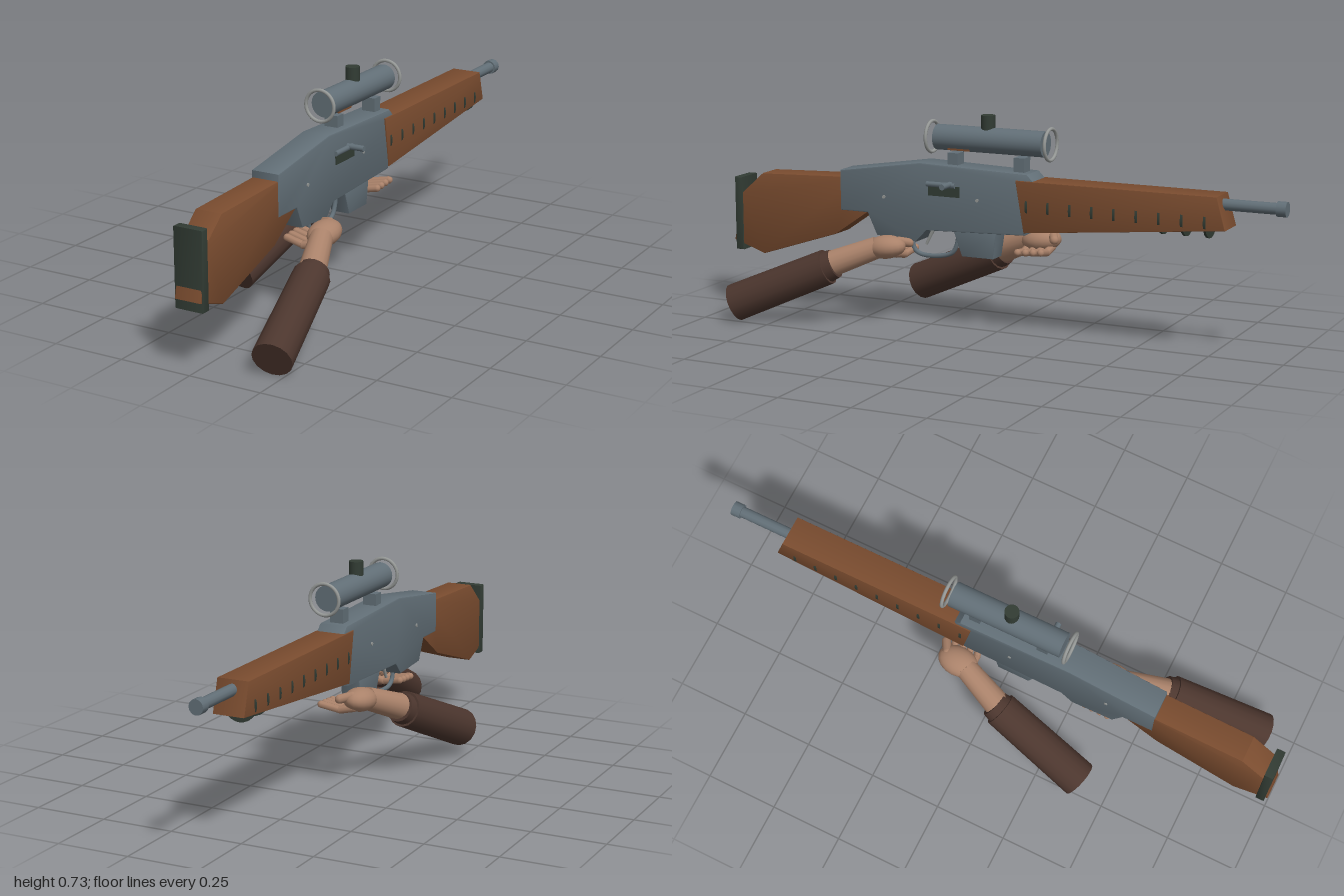
import * as THREE from 'three';
import { toCreasedNormals } from 'three/addons/utils/BufferGeometryUtils.js';

const mat = (name, color) => Object.assign(new THREE.MeshStandardMaterial({ color }), { name });

export function createModel() {
  const root = new THREE.Group();
  root.name = 'scopedRifle';
  const steel = mat('blued steel', 0x626f77);
  const wood = mat('walnut wood', 0x7a4c2f);
  const rubber = mat('dark green rubber', 0x323c34);
  const bright = mat('bright metal', 0x959896);
  const skin = mat('skin', 0xaa826a);
  const cloth = mat('brown sleeve cloth', 0x4c362e);

  function add(name, geo, material, pos = [0, 0, 0], parent = root) {
    const m = new THREE.Mesh(geo, material);
    m.name = name;
    m.position.set(...pos);
    parent.add(m);
    return m;
  }
  const box = (name, size, pos, material) => add(name, new THREE.BoxGeometry(...size), material, pos);

  // Side profile given as [z, y] points, extruded symmetrically across x
  function slab(name, pts, width, bevel, material) {
    const shape = new THREE.Shape(pts.map(([z, y]) => new THREE.Vector2(-z, y)));
    const depth = width - 2 * bevel;
    const g = new THREE.ExtrudeGeometry(shape, {
      depth, bevelEnabled: bevel > 0, bevelThickness: bevel,
      bevelSize: bevel, bevelOffset: -bevel, bevelSegments: 2,
    });
    g.translate(0, 0, -depth / 2).rotateY(Math.PI / 2);
    return add(name, toCreasedNormals(g, 0.6), material);
  }

  // Cylinder or capsule running between two points
  function limb(name, a, b, ra, rb, material, sides = 16, capsule = false, parent = root) {
    const A = new THREE.Vector3(...a), B = new THREE.Vector3(...b);
    const dir = B.clone().sub(A), len = dir.length();
    const g = capsule ? new THREE.CapsuleGeometry(ra, len, 5, sides)
      : new THREE.CylinderGeometry(rb, ra, len, sides);
    const m = add(name, g, material, A.clone().add(B).multiplyScalar(0.5).toArray(), parent);
    m.quaternion.setFromUnitVectors(new THREE.Vector3(0, 1, 0), dir.normalize());
    return m;
  }

  // Stock, its tail showing through the butt pad
  slab('stock', [[0.5, 0.505], [0.57, 0.502], [0.88, 0.49], [0.965, 0.415], [1.0, 0.245],
    [0.88, 0.205], [0.59, 0.3], [0.46, 0.39]], 0.094, 0.004, wood);
  slab('buttPad', [[0.962, 0.212], [0.992, 0.212], [0.992, 0.47], [0.962, 0.47]], 0.104, 0.005, rubber);

  // Receiver with grip stub and magazine
  slab('receiver', [[0.57, 0.525], [0.265, 0.572], [-0.13, 0.56], [-0.16, 0.53], [-0.12, 0.355],
    [0.24, 0.342], [0.28, 0.3], [0.43, 0.31], [0.465, 0.385], [0.57, 0.385]], 0.1, 0.006, steel);
  slab('magazine', [[0.15, 0.36], [-0.015, 0.36], [0, 0.262], [0.115, 0.262]], 0.07, 0.003, steel);

  // Trigger and guard
  const guard = new THREE.CatmullRomCurve3([[0.32, 0.31], [0.31, 0.265], [0.28, 0.248],
    [0.17, 0.262], [0.148, 0.3], [0.145, 0.345]].map(([z, y]) => new THREE.Vector3(0, y, z)));
  add('triggerGuard', new THREE.TubeGeometry(guard, 28, 0.008, 8), steel);
  limb('trigger', [0, 0.345, 0.235], [0, 0.285, 0.265], 0.007, 0.005, bright, 8);

  // Ejection port, bolt and pins
  box('ejectionPort', [0.008, 0.036, 0.115], [0.05, 0.482, 0.172], rubber);
  limb('boltRod', [0.054, 0.503, 0.235], [0.054, 0.503, 0.13], 0.009, 0.009, steel, 10);
  limb('boltHandle', [0.045, 0.506, 0.15], [0.111, 0.506, 0.15], 0.01, 0.01, steel, 12);
  for (const [z, y] of [[0.4, 0.445], [0.05, 0.46]])
    limb('receiverPin', [-0.053, y, z], [0.053, y, z], 0.006, 0.006, bright, 10);

  // Handguard with vent rings breaking through its faces
  slab('handguard', [[-0.09, 0.538], [-0.785, 0.538], [-0.815, 0.432], [-0.12, 0.365]], 0.108, 0.002, wood);
  for (let i = 0; i < 9; i++) {
    const z = -0.13 - i * 0.077;
    limb('ventRing', [0, 0.453, z - 0.004], [0, 0.453, z + 0.004], 0.058, 0.058, rubber, 24);
  }

  // Barrel and muzzle
  limb('barrel', [0, 0.507, -0.7], [0, 0.507, -0.98], 0.019, 0.019, steel, 12);
  limb('muzzle', [0, 0.507, -0.968], [0, 0.507, -1], 0.025, 0.025, steel, 12);

  // Scope with end rings, mounts and turret
  limb('scopeTube', [0, 0.656, 0.22], [0, 0.656, -0.175], 0.043, 0.043, steel, 24);
  for (const z of [0.24, -0.193])
    add('scopeRing', new THREE.TorusGeometry(0.052, 0.006, 8, 32), bright, [0, 0.656, z]);
  for (const z of [0.153, -0.09]) box('scopeMount', [0.048, 0.06, 0.038], [0, 0.578, z], steel);
  limb('scopeTurret', [0, 0.69, 0.033], [0, 0.74, 0.033], 0.024, 0.024, rubber, 16);
  box('scopeStrip', [0.016, 0.008, 0.08], [0.021, 0.622, 0.13], wood);

  // Arms: s picks the side, dy and dz shift the whole arm
  function arm(name, s, dy, dz) {
    const g = new THREE.Group();
    g.name = name;
    root.add(g);
    const p = (x, y, z) => [s * x, y + dy, z + dz];
    limb('sleeve', p(0.16, 0.21, 0.56), p(0.222, 0.066, 0.89), 0.061, 0.065, cloth, 16, false, g);
    limb('cuff', p(0.155, 0.222, 0.535), p(0.163, 0.203, 0.575), 0.05, 0.056, cloth, 16, false, g);
    limb('forearm', p(0.158, 0.215, 0.56), p(0.1, 0.28, 0.4), 0.046, 0.038, skin, 16, false, g);
    const palm = add('palm', new THREE.SphereGeometry(1, 18, 12), skin, p(0.093, 0.283, 0.37), g);
    palm.scale.set(0.051, 0.04, 0.071);
    palm.rotation.x = 0.12;
    for (let i = 0; i < 4; i++) {
      const z = 0.412 - i * 0.028, y = 0.246 + i * 0.002;
      limb('fingerBase', p(0.09, y + 0.012, z), p(0.04, y, z), 0.0135, 0, skin, 8, true, g);
      limb('fingerTip', p(0.04, y, z), p(-0.025, y + 0.012, z - 0.008), 0.0125, 0, skin, 8, true, g);
    }
    limb('thumb', p(0.085, 0.305, 0.325), p(0.05, 0.295, 0.305), 0.0155, 0, skin, 10, true, g);
  }
  arm('leftArm', 1, 0, 0);
  arm('rightArm', -1, 0.034, -0.49);

  return root;
}
